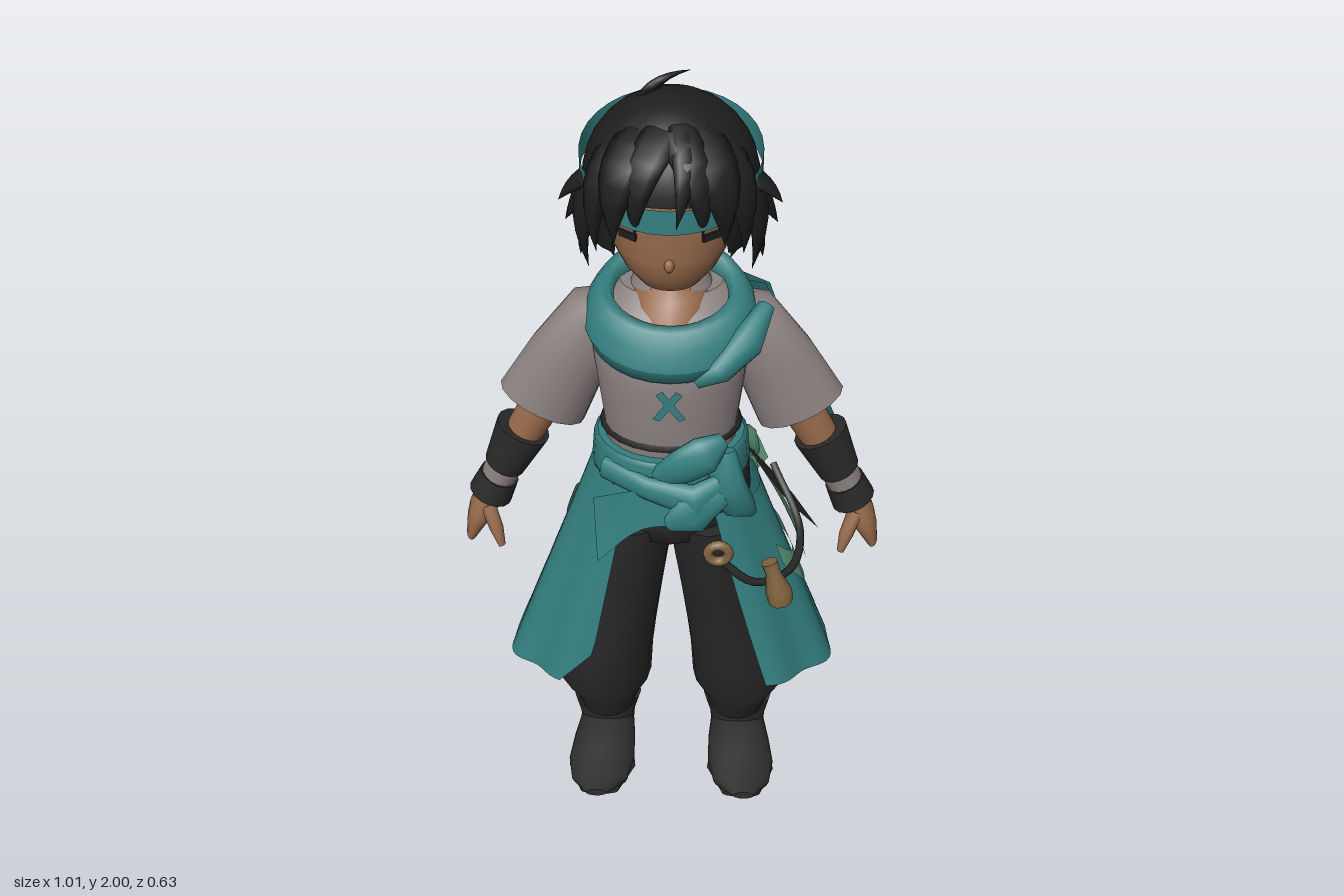
import * as THREE from 'three';

const V = (a) => new THREE.Vector3(a[0], a[1], a[2]);
const Y = new THREE.Vector3(0, 1, 0), Z = new THREE.Vector3(0, 0, 1);
const mix = THREE.MathUtils.lerp;
const mat = (name, color, side = THREE.FrontSide) => {
  const m = new THREE.MeshStandardMaterial({ color, side });
  m.name = name;
  return m;
};

// Surface through f(u, v); faces point along dU x dV
function grid(f, nu, nv, wrap = false) {
  const pos = [], idx = [], cols = wrap ? nu : nu + 1;
  for (let j = 0; j <= nv; j++) for (let i = 0; i < cols; i++) pos.push(...f(i / nu, j / nv));
  for (let j = 0; j < nv; j++) for (let i = 0; i < nu; i++) {
    const k = (i + 1) % cols, a = j * cols + i, b = j * cols + k, c = b + cols, d = a + cols;
    idx.push(a, b, c, a, c, d);
  }
  const g = new THREE.BufferGeometry();
  g.setAttribute('position', new THREE.Float32BufferAttribute(pos, 3));
  g.setIndex(idx);
  g.computeVertexNormals();
  return g;
}

// Elliptical rings along stations [x, y, z, width, thickness]; n is the thickness direction
function sweep(st, { n = Z, flat = null, caps = true, sides = 16 } = {}) {
  const rings = st.map((s, i) => {
    const T = flat ? flat.clone()
      : V(st[Math.min(i + 1, st.length - 1)]).sub(V(st[Math.max(i - 1, 0)])).normalize();
    const side = n.clone().cross(T).normalize();
    return { p: V(s), side, up: T.cross(side), w: s[3], t: s[4] };
  });
  if (caps) {
    const a = rings[0], b = rings[rings.length - 1];
    rings.unshift({ ...a, w: 0, t: 0 }, { ...a });
    rings.push({ ...b }, { ...b, w: 0, t: 0 });
  }
  return grid((u, v) => {
    const r = rings[Math.round(v * (rings.length - 1))], a = u * Math.PI * 2;
    return r.p.clone().addScaledVector(r.side, Math.cos(a) * r.w).addScaledVector(r.up, Math.sin(a) * r.t).toArray();
  }, sides, rings.length - 1, true);
}

// Tapered, bent lock that faces away from a centre
function lock(p0, p1, p2, w, t, centre) {
  const curve = new THREE.QuadraticBezierCurve3(V(p0), V(p1), V(p2)), st = [];
  for (let i = 0; i <= 6; i++) {
    const s = i / 6, k = 1 - s * s;
    st.push([...curve.getPoint(s).toArray(), w * k, t * k]);
  }
  return sweep(st, { n: V(p1).sub(V(centre)).normalize(), caps: false, sides: 6 });
}

// Cloth strip between two smooth edges
function strip(a, b) {
  const A = new THREE.CatmullRomCurve3(a.map(V)), B = new THREE.CatmullRomCurve3(b.map(V));
  return grid((u, v) => A.getPoint(v).lerp(B.getPoint(v), u).toArray(), 3, 10);
}

// Point on the flared, pleated skirt, which grows squarer towards the hem
function skirt(th, t, off = 0) {
  const r = off + 0.012 * t * Math.cos(th * 9), c = Math.cos(th);
  return [
    (0.18 + 0.225 * t + r) * Math.sin(th),
    mix(1.08, 0.43 + 0.06 * c, t),
    0.095 - 0.075 * t + (0.16 + 0.12 * t + r) * Math.sign(c) * Math.abs(c) ** (1 - 0.38 * t),
  ];
}

export function createModel() {
  const root = new THREE.Group();
  const D = THREE.DoubleSide;
  const skin = mat('skin', 0x96694a), hair = mat('hair', 0x1e1e1f, D), pants = mat('charcoal cloth', 0x292929, D),
    shirt = mat('grey shirt', 0x8b8080, D), teal = mat('teal cloth', 0x347f80, D), green = mat('green cloth', 0x5a9474, D),
    brown = mat('brown leather', 0x80633f), boot = mat('boot leather', 0x2d2d2d);
  const add = (name, geo, m) => {
    const o = new THREE.Mesh(geo, m);
    o.name = name;
    root.add(o);
    return o;
  };
  const body = { flat: Y };

  // Head and neck
  add('head', sweep([[0, 1.56, 0.15, 0.03, 0.03], [0, 1.575, 0.14, 0.065, 0.065], [0, 1.61, 0.125, 0.1, 0.1],
    [0, 1.66, 0.105, 0.13, 0.135], [0, 1.72, 0.09, 0.145, 0.143], [0, 1.8, 0.09, 0.15, 0.15],
    [0, 1.88, 0.08, 0.13, 0.13]], { ...body, sides: 24 }), skin);
  add('neck', sweep([[0, 1.46, 0.1, 0.1, 0.11], [0, 1.525, 0.085, 0.085, 0.09], [0, 1.55, 0.07, 0.06, 0.06],
    [0, 1.62, 0.07, 0.055, 0.055]], body), skin);
  add('nose', new THREE.SphereGeometry(0.014, 10, 8).scale(0.8, 1.1, 1), skin).position.set(0, 1.655, 0.238);
  for (const s of [-1, 1]) {
    const eye = add('eye', new THREE.BoxGeometry(0.045, 0.016, 0.008), hair);
    eye.position.set(s * 0.087, 1.71, 0.205);
    eye.rotation.y = s * 0.65;
    add('ear', new THREE.SphereGeometry(0.03, 10, 8).scale(0.5, 1.2, 0.8), skin).position.set(s * 0.142, 1.67, 0.11);
  }

  // Hair cap with a high hem over the face and a low one behind
  add('hairCap', grid((u, v) => {
    const th = (u * 2 - 1) * Math.PI, hem = Math.abs(th) < 0.75 ? 0.08 : mix(-0.7, -1.25, (Math.abs(th) - 0.75) / 2.4);
    const ph = mix(hem, Math.PI / 2, v), r = Math.cos(ph < 0 ? ph * 0.55 : ph);
    return [0.188 * r * Math.sin(th), 1.79 + 0.185 * Math.sin(ph), 0.085 + 0.185 * r * Math.cos(th)];
  }, 32, 12), hair);
  const hc = [0, 1.78, 0.08];
  // Swept fringe, then side locks that hang from under the headband
  const locks = [
    [[0.015, 1.93, 0.19], [0.075, 1.89, 0.31], [0.07, 1.735, 0.255], 0.045],
    [[0.05, 1.92, 0.18], [0.13, 1.88, 0.3], [0.115, 1.7, 0.23], 0.06],
    [[0.09, 1.9, 0.16], [0.18, 1.84, 0.25], [0.155, 1.66, 0.19], 0.055],
    [[0.16, 1.8, 0.13], [0.205, 1.74, 0.17], [0.175, 1.6, 0.15], 0.055],
    [[0.15, 1.81, 0.11], [0.2, 1.8, 0.13], [0.235, 1.76, 0.15], 0.05],
    [[0.16, 1.79, 0.08], [0.2, 1.74, 0.08], [0.23, 1.67, 0.07], 0.06],
    [[0.15, 1.74, 0.05], [0.19, 1.65, 0.05], [0.2, 1.58, 0.06], 0.065],
    [[0.12, 1.72, 0.01], [0.16, 1.63, -0.02], [0.13, 1.54, 0], 0.06],
    [[0.05, 1.72, -0.04], [0.07, 1.62, -0.1], [0.05, 1.55, -0.06], 0.07],
  ];
  for (const s of [-1, 1]) for (const [a, b, c, w] of locks) {
    const m = ([x, y, z]) => [x * s, y, z];
    add('hairLock', lock(m(a), m(b), m(c), w, 0.02, hc), hair);
  }
  add('centreLock', lock([0.02, 1.94, 0.18], [0.045, 1.9, 0.31], [0.015, 1.765, 0.285], 0.028, 0.015, hc), hair);
  add('cowlick', lock([-0.05, 1.95, 0.06], [-0.04, 2.0, 0.07], [0.04, 2.0, 0.03], 0.03, 0.012, [0, 1.8, 0.2]), hair);

  // Ponytail
  add('ponytail', sweep([[0, 1.86, -0.13, 0.02, 0.02], [0, 1.83, -0.145, 0.07, 0.045], [0, 1.75, -0.15, 0.1, 0.055],
    [0, 1.67, -0.16, 0.08, 0.045], [0, 1.6, -0.175, 0.02, 0.015]], { ...body, sides: 10 }), hair);
  add('ponytailRoot', sweep([[0, 1.79, -0.07, 0.04, 0.04], [0, 1.79, -0.15, 0.03, 0.03]], { n: Y, sides: 8 }), hair);
  for (const s of [-1, 1])
    add('ponytailLock', lock([0, 1.82, -0.15], [s * 0.1, 1.8, -0.18], [s * 0.14, 1.66, -0.12], 0.05, 0.02, [0, 1.75, 0]), hair);

  // Headband, lower on the brow
  add('headband', grid((u, v) => {
    const a = u * Math.PI * 2;
    return [0.194 * Math.sin(a), 1.825 - 0.048 * Math.cos(a) + (v - 0.5) * 0.055, 0.085 + 0.194 * Math.cos(a)];
  }, 32, 1, true), teal);

  // Shirt, collar and lacing
  add('shirt', sweep([[0, 1.08, 0.11, 0.15, 0.12], [0, 1.2, 0.115, 0.155, 0.122], [0, 1.32, 0.115, 0.17, 0.132],
    [0, 1.41, 0.105, 0.182, 0.132], [0, 1.48, 0.085, 0.17, 0.11], [0, 1.525, 0.065, 0.115, 0.08]],
  { ...body, sides: 24 }), shirt);
  add('collar', grid((u, v) => {
    const a = mix(0.55, Math.PI * 2 - 0.55, u), r = mix(0.105, 0.068, v);
    return [r * Math.sin(a), mix(1.49, 1.575, v), mix(0.08, 0.06, v) + r * Math.cos(a)];
  }, 20, 3), shirt);
  for (const s of [-1, 1])
    add('lacing', strip([[-s * 0.03, 1.335, 0.25], [s * 0.022, 1.265, 0.25]], [[-s * 0.015, 1.345, 0.25], [s * 0.037, 1.272, 0.25]]), teal);

  // Arms
  for (const s of [-1, 1]) {
    const arm = (name, st, m, o) => add(name, sweep(st.map(([x, ...r]) => [s * x, ...r]), o), m);
    arm('sleeve', [[0.1, 1.47, 0.07, 0.04, 0.05], [0.16, 1.43, 0.07, 0.085, 0.072], [0.235, 1.32, 0.07, 0.095, 0.07],
      [0.3, 1.195, 0.07, 0.108, 0.075]], shirt);
    arm('forearm', [[0.28, 1.23, 0.07, 0.05, 0.05], [0.39, 1.03, 0.07, 0.042, 0.045]], skin);
    arm('bracerTop', [[0.35, 1.115, 0.07, 0.066, 0.062], [0.4, 1.01, 0.07, 0.05, 0.054]], pants);
    arm('wristWrap', [[0.393, 1.025, 0.07, 0.046, 0.05], [0.42, 0.965, 0.07, 0.043, 0.047]], shirt);
    arm('bracerCuff', [[0.415, 0.975, 0.07, 0.048, 0.052], [0.44, 0.92, 0.07, 0.054, 0.056]], pants);
    arm('hand', [[0.435, 0.935, 0.07, 0.032, 0.036], [0.46, 0.88, 0.07, 0.035, 0.052], [0.478, 0.84, 0.068, 0.026, 0.05],
      [0.494, 0.795, 0.068, 0.014, 0.038]], skin);
    arm('thumb', [[0.445, 0.9, 0.1, 0.02, 0.02], [0.425, 0.85, 0.125, 0.018, 0.018], [0.413, 0.805, 0.135, 0.009, 0.01]], skin, { sides: 8 });
  }

  // Scarf with its shoulder fold, knot and long tail
  add('scarf', grid((u, v) => {
    const a = u * Math.PI * 2, b = v * Math.PI * 2, k = 0.035 * Math.cos(b);
    return [(0.16 + k) * Math.sin(a), 1.475 - 0.05 * Math.cos(a) + 0.055 * Math.sin(b) - 0.8 * k, 0.1 + (0.125 + k) * Math.cos(a)];
  }, 28, 8, true), teal);
  add('scarfKnot', sweep([[0.06, 1.36, 0.235, 0.015, 0.01], [0.11, 1.39, 0.235, 0.03, 0.022], [0.17, 1.44, 0.19, 0.04, 0.03],
    [0.21, 1.49, 0.12, 0.02, 0.02]], { sides: 8 }), teal);
  add('scarfTail', strip([[0.21, 1.5, 0.04], [0.29, 1.28, -0.05], [0.37, 1.1, -0.11], [0.42, 0.97, -0.14]],
    [[0.03, 1.49, -0.04], [0.09, 1.32, -0.13], [0.18, 1.15, -0.21], [0.27, 1.02, -0.27]]), teal);
  add('scarfTailFold', strip([[0.22, 1.49, 0.02], [0.3, 1.22, -0.05], [0.35, 0.95, -0.16]],
    [[0.12, 1.5, -0.04], [0.22, 1.25, -0.12], [0.28, 0.97, -0.21]]), teal);

  // Waist: hips, straps, sash
  const band = (name, y0, y1, w, t, m) => add(name, sweep([[0, y0, 0.1, w - 0.008, t - 0.008], [0, y0 + 0.01, 0.1, w, t],
    [0, y1 - 0.01, 0.105, w - 0.006, t - 0.006], [0, y1, 0.105, w - 0.015, t - 0.015]], { ...body, sides: 24 }), m);
  add('hips', sweep([[0, 0.85, 0.095, 0.03, 0.08], [0, 0.89, 0.1, 0.13, 0.125], [0, 0.95, 0.1, 0.175, 0.143],
    [0, 1.1, 0.1, 0.172, 0.145]], body), pants);
  band('hipWrap', 0.97, 1.08, 0.19, 0.157, pants);
  band('sash', 1.06, 1.15, 0.186, 0.165, teal);
  band('waistStrap', 1.16, 1.195, 0.166, 0.138, pants);

  // Front bow and drape
  const lobes = [
    [[-0.02, 1.11, 0.25, 0.03, 0.02], [0.03, 1.16, 0.275, 0.045, 0.03], [0.08, 1.19, 0.27, 0.05, 0.03], [0.12, 1.21, 0.24, 0.02, 0.015]],
    [[0.12, 1.18, 0.24, 0.03, 0.02], [0.13, 1.1, 0.26, 0.045, 0.03], [0.16, 1.03, 0.25, 0.04, 0.025], [0.19, 0.98, 0.21, 0.015, 0.01]],
    [[-0.15, 1.1, 0.2, 0.03, 0.02], [-0.05, 1.09, 0.265, 0.03, 0.02], [0.06, 1.07, 0.29, 0.05, 0.025], [0.15, 1.12, 0.25, 0.02, 0.015]],
    [[0.12, 1.08, 0.27, 0.03, 0.02], [0.05, 1.04, 0.3, 0.055, 0.02], [0, 1.005, 0.29, 0.02, 0.015]],
  ];
  lobes.forEach((l) => add('bowLobe', sweep(l, { sides: 10 }), teal));
  add('waistDrape', strip([[0.05, 1.1, 0.27], [-0.08, 1.08, 0.265], [-0.18, 1.0, 0.19]],
    [[0.06, 1.0, 0.29], [-0.06, 0.98, 0.28], [-0.17, 0.86, 0.255]]), teal);

  // Skirt panels, open at the front and at the back
  const front = (t) => (t < 0.2 ? mix(-0.1, -0.53, t / 0.2) : t < 0.85 ? -0.53 : mix(-0.53, -0.72, (t - 0.85) / 0.15));
  add('rightSkirtPanel', grid((u, v) => skirt(mix(mix(-3.5, -2.85, v), front(v), u), v), 40, 14), teal);
  add('leftSkirtPanel', grid((u, v) => skirt(mix(mix(0.52, 0.62, v), mix(2.5, 2.1, v), u), mix(0.14, 1, v)), 32, 14), teal);

  // Green curved trims lying on the skirt
  const trim = (a, b, ta, tb, dip, w) => add('skirtTrim', grid((u, v) => {
    const k = Math.sin(Math.PI * mix(0.12, 0.97, u));
    return skirt(mix(a, b, u), mix(ta, tb, u) + dip * k + (v - 0.5) * w * Math.sqrt(k), 0.007);
  }, 24, 3), green);
  trim(1.2, 2.25, 0.35, 0.4, 0.22, 0.16);
  trim(-3.1, -1.75, 0.18, 0.27, 0.24, 0.24);

  // Rear left sash ends and dark flap
  add('greenKnot', sweep([[0.13, 0.99, -0.07, 0.02, 0.02], [0.17, 0.96, -0.11, 0.045, 0.035], [0.2, 0.9, -0.14, 0.02, 0.02]], { sides: 8 }), green);
  add('greenLoop', strip([[0.15, 1.0, -0.06], [0.2, 0.97, -0.13], [0.24, 0.88, -0.14]],
    [[0.15, 0.93, -0.07], [0.17, 0.89, -0.13], [0.2, 0.83, -0.13]]), green);
  add('greenTail', strip([[0.14, 0.95, -0.11], [0.14, 0.65, -0.2], [0.16, 0.36, -0.315]],
    [[0.2, 0.95, -0.1], [0.25, 0.62, -0.18], [0.28, 0.28, -0.27]]), green);
  add('greenShortTail', strip([[0.06, 0.95, -0.08], [0.06, 0.8, -0.18], [0.07, 0.66, -0.26]],
    [[0.15, 0.95, -0.11], [0.16, 0.8, -0.19], [0.18, 0.63, -0.23]]), green);
  add('greenSideTail', strip([[0.22, 0.92, -0.08], [0.31, 0.72, -0.1], [0.35, 0.58, -0.1]],
    [[0.19, 0.92, -0.12], [0.27, 0.74, -0.17], [0.32, 0.62, -0.18]]), green);
  add('darkFlap', strip([[0.2, 1.0, 0.02], [0.28, 0.86, 0], [0.37, 0.74, -0.03]],
    [[0.17, 0.98, -0.08], [0.24, 0.86, -0.13], [0.31, 0.74, -0.17]]), pants);

  // Belt cord, ring and hanging gourd
  const cord = [[0.115, 0.9, 0.285], [0.2, 0.83, 0.285], [0.29, 0.81, 0.21], [0.315, 0.83, 0.08], [0.25, 0.92, -0.06]];
  add('beltCord', new THREE.TubeGeometry(new THREE.CatmullRomCurve3(cord.map(V)), 24, 0.01, 6), pants);
  add('beltRing', new THREE.TorusGeometry(0.024, 0.012, 8, 16), brown).position.set(0.115, 0.92, 0.29);
  add('gourd', sweep([[0.265, 0.77, 0.28, 0.03, 0.03], [0.26, 0.8, 0.28, 0.032, 0.032], [0.245, 0.85, 0.275, 0.018, 0.018],
    [0.235, 0.88, 0.27, 0.02, 0.02]], { sides: 10 }), brown);

  // Baggy trousers and boots
  for (const s of [-1, 1]) {
    add('trouserLeg', sweep([[0.175, 0.16, 0, 0.075, 0.08], [0.175, 0.23, 0.015, 0.09, 0.1], [0.178, 0.29, 0.02, 0.122, 0.122],
      [0.168, 0.4, 0.03, 0.118, 0.138], [0.145, 0.5, 0.045, 0.105, 0.135], [0.12, 0.65, 0.065, 0.098, 0.132],
      [0.1, 0.8, 0.09, 0.097, 0.14], [0.09, 0.93, 0.1, 0.092, 0.143]].map(([x, ...r]) => [s * x, ...r]), body), pants);
    add('bootShaft', sweep([[s * 0.18, 0.02, -0.025, 0.07, 0.062], [s * 0.18, 0.09, -0.025, 0.075, 0.063],
      [s * 0.178, 0.165, -0.018, 0.092, 0.072]], body), boot);
    add('bootFoot', sweep([[s * 0.18, 0.05, -0.09, 0.05, 0.04], [s * 0.18, 0.06, -0.03, 0.072, 0.055], [s * 0.183, 0.06, 0.05, 0.082, 0.052],
      [s * 0.188, 0.05, 0.13, 0.088, 0.042], [s * 0.19, 0.045, 0.2, 0.074, 0.033], [s * 0.195, 0.058, 0.26, 0.028, 0.012]], { n: Y, flat: Z }), boot);
    add('bootHeel', new THREE.CylinderGeometry(0.066, 0.07, 0.04, 14), boot).position.set(s * 0.18, 0.02, -0.022);
    add('bootSole', sweep([[s * 0.183, 0.012, 0, 0.07, 0.012], [s * 0.188, 0.012, 0.12, 0.09, 0.012], [s * 0.19, 0.02, 0.22, 0.05, 0.012]],
      { n: Y, flat: Z }), boot);
  }
  return root;
}
